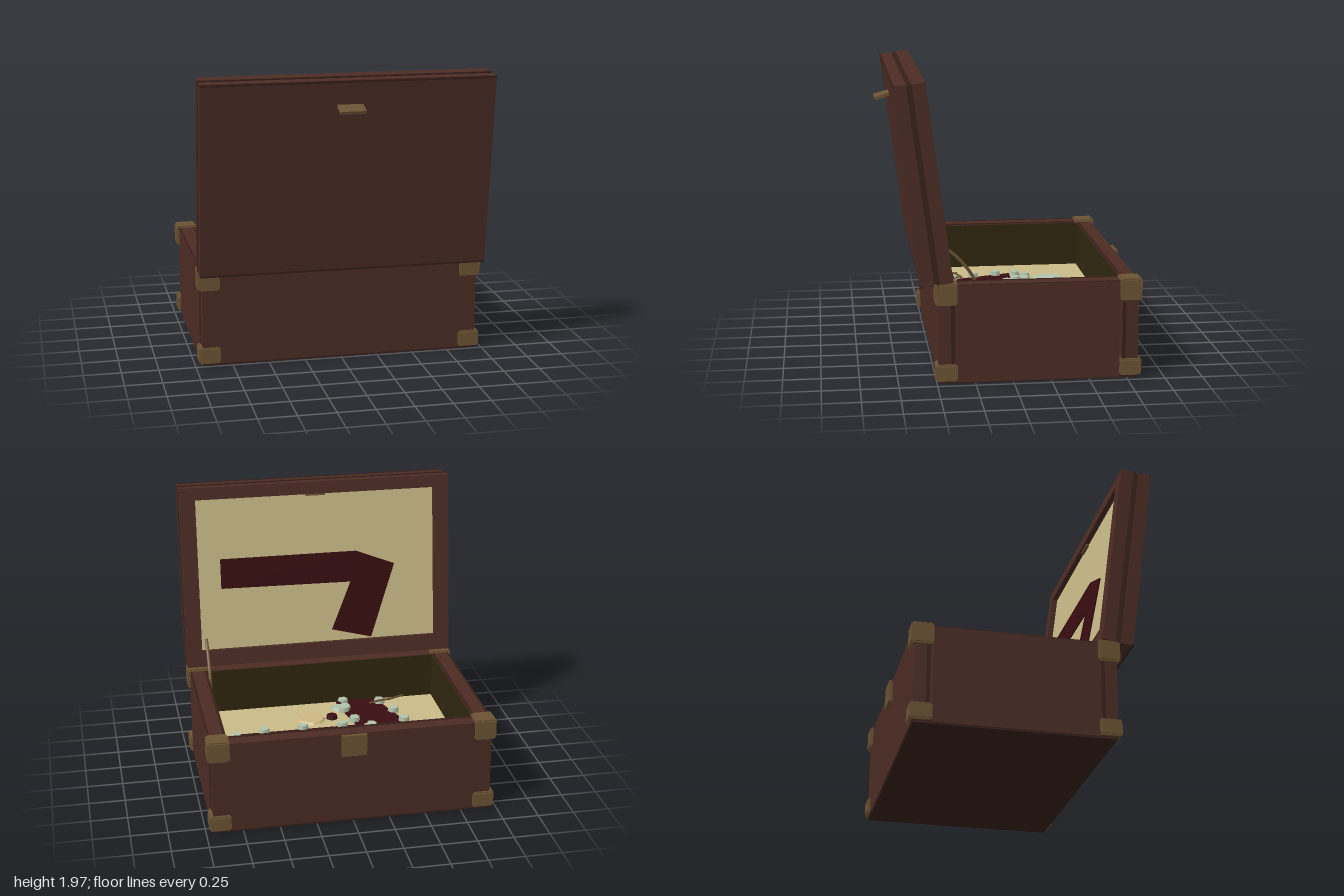
import * as THREE from 'three';

const mat = (name, color) => {
  const m = new THREE.MeshStandardMaterial({ color });
  m.name = name;
  return m;
};

export function createModel() {
  const wood = mat('wood', 0x4c2c24);
  const darkWood = mat('dark wood', 0x38201a);
  const brass = mat('brass', 0x6c5333);
  const tan = mat('tan lining', 0xcabb88);
  const olive = mat('dark lining', 0x2f260f);
  const red = mat('dark red', 0x380d10);
  const mint = mat('pale green', 0xb2c2aa);
  const cream = mat('cream', 0xcfb883);

  const model = new THREE.Group();
  const base = new THREE.Group();
  base.name = 'base';
  const lid = new THREE.Group();
  lid.name = 'lid';
  model.add(base, lid);

  const add = (parent, name, geo, material) => {
    const m = new THREE.Mesh(geo, material);
    m.name = name;
    parent.add(m);
    return m;
  };
  // Box given by its lower and upper limits
  const box = (parent, name, material, x0, x1, y0, y1, z0, z1) => {
    const m = add(parent, name, new THREE.BoxGeometry(x1 - x0, y1 - y0, z1 - z0), material);
    m.position.set((x0 + x1) / 2, (y0 + y1) / 2, (z0 + z1) / 2);
    return m;
  };
  const plate = (points, depth) => new THREE.ExtrudeGeometry(
    new THREE.Shape(points.map(p => new THREE.Vector2(p[0], p[1]))), { depth, bevelEnabled: false });

  // Base: bottom, end walls and floor
  box(base, 'bottom', darkWood, -0.95, 0.95, 0, 0.03, -0.82, 0.48);
  box(base, 'frontWall', wood, -0.95, 0.95, 0.015, 0.655, 0.37, 0.49);
  box(base, 'backWall', wood, -0.95, 0.95, 0.015, 0.655, -0.825, -0.715);
  box(base, 'floor', tan, -0.845, 0.845, 0.03, 0.33, -0.72, 0.375);
  box(base, 'frontLining', olive, -0.84, 0.84, 0.33, 0.65, 0.365, 0.372);
  box(base, 'backLining', olive, -0.84, 0.84, 0.33, 0.65, -0.717, -0.71);

  // Side walls with grooves, rim strips, linings and corner caps
  for (const s of [-1, 1]) {
    const side = (name, m, x0, x1, ...r) =>
      box(base, name, m, Math.min(s * x0, s * x1), Math.max(s * x0, s * x1), ...r);
    side('sideWall', wood, 0.842, 0.958, 0.01, 0.66, -0.7, 0.37);
    side('sideLining', olive, 0.835, 0.843, 0.33, 0.65, -0.715, 0.37);
    side('rimGroove', darkWood, 0.842, 0.856, 0.655, 0.663, -0.7, 0.37);
    side('rimGroove', darkWood, 0.945, 0.958, 0.655, 0.663, -0.7, 0.37);
    for (const z of [0.395, -0.73])
      side('postGroove', darkWood, 0.948, 0.953, 0.02, 0.65, z - 0.012, z + 0.012);
    for (const [z0, z1] of [[0.365, 0.51], [-0.845, -0.7]])
      for (const [y0, y1] of [[0.02, 0.13], [0.53, 0.675]]) {
        side('cornerCap', brass, 0.83, 0.977, y0 + 0.01, y1 - 0.01, z0 + 0.01, z1 - 0.01);
        side('cornerCap', brass, 0.84, 0.967, y0, y1, z0 + 0.01, z1 - 0.01);
        side('cornerCap', brass, 0.84, 0.967, y0 + 0.01, y1 - 0.01, z0, z1);
      }
  }
  box(base, 'rimGroove', darkWood, -0.83, 0.83, 0.65, 0.658, -0.735, -0.716);
  box(base, 'lockPlate', brass, -0.085, 0.085, 0.5, 0.65, -0.85, -0.82);

  // Bent path on the floor
  const path = plate([[0.72, 0.28], [-0.29, 0.28], [-0.57, 0.16], [-0.4, -0.36],
    [-0.2, -0.36], [-0.11, -0.28], [-0.18, 0.06], [0.72, 0.06]], 0.009);
  path.rotateX(-Math.PI / 2);
  add(base, 'floorPath', path, red).position.y = 0.33;

  // Hexagonal stones along the path
  const hex = new THREE.CylinderGeometry(0.036, 0.042, 0.04, 6);
  hex.rotateY(Math.PI / 6);
  for (const [x, z] of [[-0.45, -0.26], [-0.51, -0.19], [-0.53, -0.05], [-0.49, 0.12], [-0.42, 0.28],
    [-0.35, -0.245], [-0.355, -0.175], [-0.28, -0.235], [-0.25, -0.14], [-0.28, -0.11], [-0.18, 0.015],
    [-0.14, 0.19], [-0.155, 0.325], [-0.075, -0.28], [-0.075, -0.06], [0.21, -0.295], [0.21, -0.05],
    [0.49, -0.28], [0.49, -0.06], [0.695, -0.235], [0.695, -0.11], [0.77, -0.175]])
    add(base, 'stone', hex, mint).position.set(x, 0.35, z);

  // Low mounds
  const mound = (name, m, x, z, r, h) => {
    const g = new THREE.CylinderGeometry(r * 0.85, r, h, 12).toNonIndexed();
    g.computeVertexNormals();
    add(base, name, g, m).position.set(x, 0.33 + h / 2, z);
  };
  [[-0.42, -0.43, 0.115], [0.16, -0.58, 0.12], [0.17, -0.41, 0.07], [0.38, -0.37, 0.095],
    [0.57, -0.55, 0.11], [0.67, -0.44, 0.11], [0.69, -0.35, 0.1], [-0.13, 0.25, 0.075]]
    .forEach(([x, z, r], i) => mound('greenMound', mint, x, z, r, 0.012 + i * 0.0012));
  mound('creamMound', cream, 0.24, -0.41, 0.07, 0.024);
  mound('creamMound', cream, 0.12, 0.1, 0.1, 0.016);
  mound('redSpot', red, -0.03, 0.1, 0.042, 0.025);
  mound('redSpot', red, -0.12, 0.3, 0.025, 0.025);

  // Twigs and lid stay
  const rod = (name, pts, r) => add(base, name, new THREE.TubeGeometry(
    new THREE.CatmullRomCurve3(pts.map(p => new THREE.Vector3(...p))), 16, r, 6), brass);
  rod('twig', [[-0.62, 0.345, 0.36], [-0.55, 0.36, 0.3], [-0.47, 0.375, 0.235]], 0.008);
  rod('twig', [[-0.49, 0.37, 0.255], [-0.41, 0.375, 0.235], [-0.33, 0.37, 0.21]], 0.008);
  rod('twig', [[-0.37, 0.375, 0.22], [-0.42, 0.35, 0.28]], 0.007);
  rod('lidStay', [[0.828, 0.88, 0.43], [0.828, 0.8, 0.34], [0.828, 0.67, 0.245], [0.828, 0.5, 0.2]], 0.012);

  // Lid: back slab, groove layer and inner frame, tilted about the hinge
  lid.position.set(0, 0.665, 0.495);
  lid.rotation.x = 0.129;
  box(lid, 'lidPanel', wood, -0.975, 0.975, 0, 1.31, 0.02, 0.105);
  box(lid, 'lidGroove', darkWood, -0.965, 0.965, 0.01, 1.3, -0.02, 0.02);
  const frame = (name, m, z0, z1, o, t) => {
    box(lid, name, m, -o, o, 0.975 - o, 0.12, z0, z1);
    box(lid, name, m, -o, o, 1.22, 1.31 - (0.975 - o), z0, z1);
    for (const s of [-1, 1])
      box(lid, name, m, s < 0 ? -o : t, s < 0 ? -t : o, 0.12, 1.22, z0, z1);
  };
  frame('lidFrame', wood, -0.105, -0.018, 0.972, 0.862);
  frame('lidFrameTrim', darkWood, -0.01, 0.0, 0.978, 0.9);
  // Thin edge lips
  for (const y of [0, 1.302])
    box(lid, 'edgeLip', darkWood, -0.977, 0.977, y - 0.002, y + 0.012, 0.093, 0.108);
  box(lid, 'lidLining', tan, -0.864, 0.864, 0.118, 1.222, -0.068, -0.019);
  box(lid, 'latchCatch', brass, -0.07, 0.07, 1.205, 1.225, -0.09, -0.06);

  // Bent path on the lid lining
  add(lid, 'lidPath', plate([[0.7, 0.78], [0.7, 0.565], [-0.245, 0.555], [-0.1, 0.205],
    [-0.39, 0.13], [-0.57, 0.67], [-0.29, 0.78]], 0.009), red).position.z = -0.076;

  // Latch tongue on the outside of the lid
  const tongue = box(lid, 'latchTongue', brass, -0.085, 0.085, 1.127, 1.149, 0.09, 0.208);
  tongue.rotation.x = 0.16;

  return model;
}
